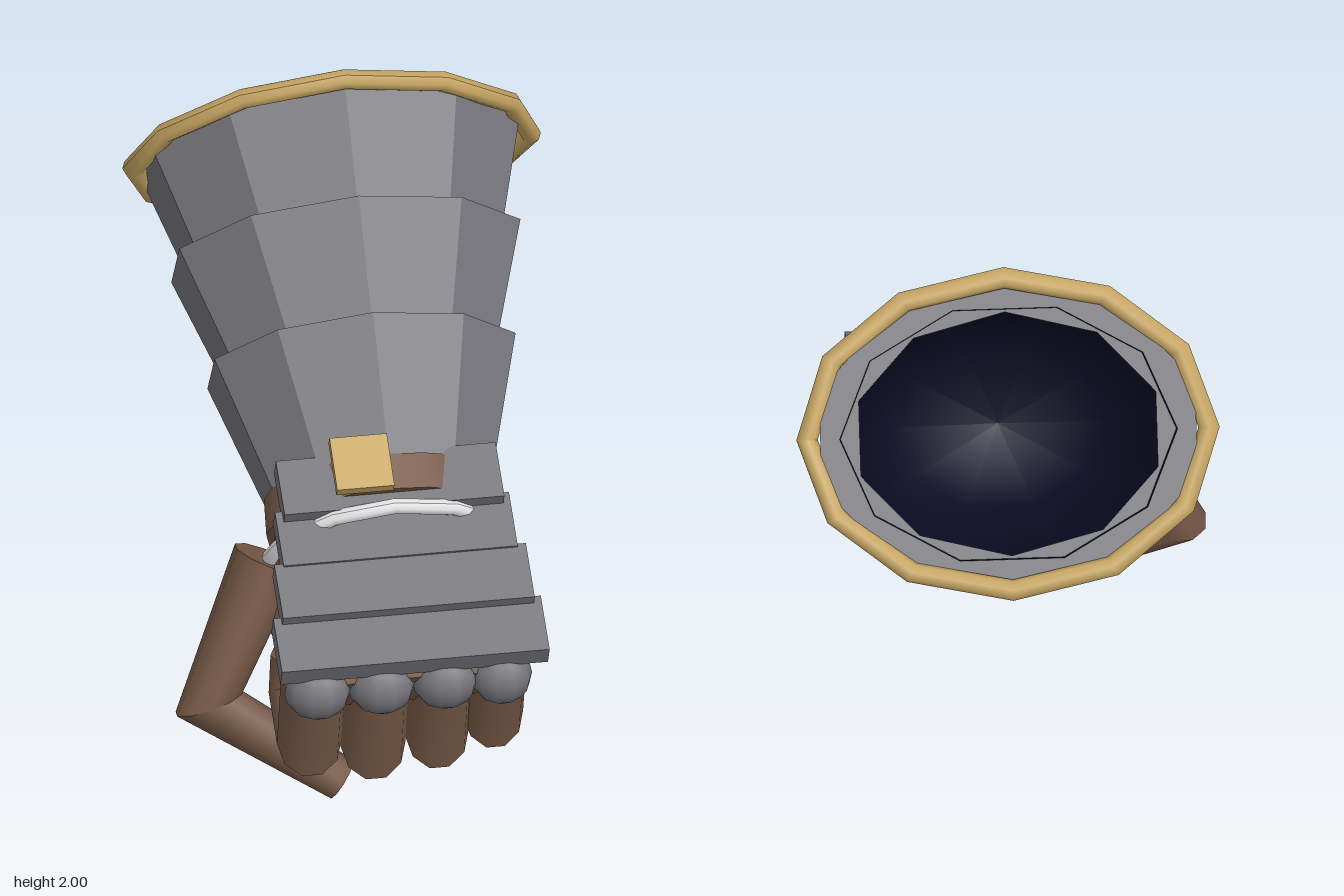
import * as THREE from 'three';

const mat = (name, color) => Object.assign(new THREE.MeshStandardMaterial({ color }), { name });
const V = (x, y, z) => new THREE.Vector3(x, y, z);

// Smooth closed skin over a list of rings, with flat caps
function loft(rings) {
  const n = rings[0].length, pos = [], idx = [];
  const add = (p) => pos.push(p.x, p.y, p.z) / 3 - 1;
  rings.forEach((ring) => ring.forEach(add));
  for (let i = 0; i < rings.length - 1; i++) {
    for (let j = 0; j < n; j++) {
      const k = (j + 1) % n, a = i * n + j, b = i * n + k;
      idx.push(a, b, b + n, a, b + n, a + n);
    }
  }
  [rings[0], rings[rings.length - 1]].forEach((ring, end) => {
    const mid = add(ring.reduce((s, p) => s.add(p), V(0, 0, 0)).divideScalar(n));
    const first = pos.length / 3;
    ring.forEach(add);
    for (let j = 0; j < n; j++) {
      const a = first + j, b = first + (j + 1) % n;
      idx.push(mid, ...(end ? [a, b] : [b, a]));
    }
  });
  const g = new THREE.BufferGeometry();
  g.setAttribute('position', new THREE.Float32BufferAttribute(pos, 3));
  g.setIndex(idx);
  g.computeVertexNormals();
  return g;
}

// Jointed limb with mitred, crisp bends about the axis n; widths lie along n, depths across it
function limb(points, widths, depths, n, sides = 10) {
  const dirs = points.slice(1).map((p, i) => p.clone().sub(points[i]).normalize());
  const rings = [];
  points.forEach((p, i) => {
    const d0 = dirs[Math.max(i - 1, 0)], d1 = dirs[Math.min(i, dirs.length - 1)];
    const t = d0.clone().add(d1).normalize();
    const m = t.clone().cross(n).divideScalar(t.dot(d1));
    const ring = [];
    for (let j = 0; j < sides; j++) {
      const a = (j / sides) * Math.PI * 2;
      ring.push(p.clone().addScaledVector(n, Math.cos(a) * widths[i]).addScaledVector(m, Math.sin(a) * depths[i]));
    }
    rings.push(ring);
    if (i > 0 && i < points.length - 1) rings.push(ring); // repeated ring keeps the bend sharp
  });
  return loft(rings);
}

function lathe(profile, sides, start = 0) {
  return new THREE.LatheGeometry(profile.map(([r, y]) => new THREE.Vector2(r, y)), sides, start);
}

function faceted(g) {
  const f = g.toNonIndexed();
  f.computeVertexNormals();
  return f;
}

// Oval hoop around the arm axis whose sides sag below its top and bottom
function hoop(rx, rz, tube, sag, sides) {
  const g = new THREE.TorusGeometry(1, tube, 8, sides);
  const p = g.attributes.position;
  for (let i = 0; i < p.count; i++) {
    const a = Math.atan2(p.getY(i), p.getX(i));
    const off = Math.hypot(p.getX(i), p.getY(i)) - 1;
    p.setXYZ(i, Math.cos(a) * (rx + off), -p.getZ(i) - sag * Math.cos(a) ** 2, Math.sin(a) * (rz + off));
  }
  g.computeVertexNormals();
  return g;
}

export function createModel() {
  const steel = mat('steel', 0x74747a), gold = mat('gold', 0xc6a562), leather = mat('leather', 0x755846);
  const white = mat('white', 0xe6e6e6), navy = mat('navy lining', 0x0b0b24);
  const model = new THREE.Group();
  model.name = 'gauntlet';
  const put = (parent, name, geometry, material, x = 0, y = 0, z = 0) => {
    const mesh = new THREE.Mesh(geometry, material);
    mesh.name = name;
    mesh.position.set(x, y, z);
    parent.add(mesh);
    return mesh;
  };

  // Forearm frame: +y runs up the arm from the wrist, +z is the back of the hand
  const arm = new THREE.Group();
  arm.name = 'arm';
  arm.position.set(0.014, 0.892, 0.28);
  arm.rotation.x = THREE.MathUtils.degToRad(-55);
  model.add(arm);

  // Three overlapping flared cuff plates
  put(arm, 'cuff', faceted(lathe([
    [0, 0], [0.365, 0], [0.497, 0.434], [0.44, 0.434], [0.563, 0.806], [0.507, 0.806],
    [0.614, 1.17], [0.485, 1.17],
  ], 10)), steel).scale.z = 0.78;

  // Dark cavity, facing inward
  const lining = lathe([[0.525, 1.19], [0.46, 0.85], [0.34, 0.5], [0, 0.42]], 10, Math.PI / 10);
  put(arm, 'cuffLining', lining, navy).scale.z = 0.78;
  put(arm, 'cuffRim', hoop(0.624, 0.485, 0.033, 0.035, 12), gold, 0, 1.18, 0);

  // Wrist, palm and the cord around it
  put(arm, 'wrist', lathe([[0, -0.12], [0.372, -0.12], [0.372, -0.12], [0.364, 0]], 20), leather).scale.z = 0.78;
  const palm = [ // y, half width, bottom z, top z
    [-0.7, 0.34, -0.03, 0.15], [-0.64, 0.375, -0.1, 0.19], [-0.5, 0.375, -0.19, 0.21],
    [-0.2, 0.355, -0.26, 0.22], [-0.05, 0.335, -0.26, 0.22],
  ].map(([y, w, lo, hi]) => {
    const ring = [];
    for (let j = 0; j < 20; j++) {
      const a = (-j / 20) * Math.PI * 2, c = Math.cos(a), s = Math.sin(a);
      const r = (v) => Math.sign(v) * Math.abs(v) ** 0.75;
      ring.push(V(w * r(c), y, (lo + hi) / 2 + ((hi - lo) / 2) * r(s)));
    }
    return ring;
  });
  put(arm, 'palm', loft(palm), leather);
  put(arm, 'wristCord', hoop(0.37, 0.28, 0.026, 0.02, 12), white, 0, -0.175, 0);

  // Stepped plates over the back of the hand: width, y, z
  [[0.84, 0.714, 0.88], [0.79, 0.825, 0.745], [0.735, 0.915, 0.585], [0.69, 1.025, 0.465]].forEach(([w, y, z], i) => {
    put(model, 'handPlate' + (i + 1), new THREE.BoxGeometry(w, 0.075, 0.195), steel, 0.014, y, z)
      .rotation.x = THREE.MathUtils.degToRad(27);
  });
  put(model, 'goldClasp', new THREE.BoxGeometry(0.18, 0.035, 0.18), gold, -0.077, 1.125, 0.49)
    .rotation.x = THREE.MathUtils.degToRad(32);

  // Knuckles and curled fingers: x, half width, rise of the curl, shortening of the curl
  const fingers = [[-0.282, 0.102, 0.03, 0], [-0.082, 0.102, 0, 0], [0.118, 0.1, 0.02, 0.01], [0.295, 0.094, 0.075, 0.02]];
  fingers.forEach(([x, r, up, back], i) => {
    put(model, 'knuckle' + (i + 1), new THREE.SphereGeometry(0.092, 10, 8), steel, x, 0.575, 0.905).scale.x = r / 0.09;
    const path = [
      V(x, 0.57, 0.82), V(x, 0.26 + up, 0.745), V(x, 0.315 + up, 0.535 + back), V(x, 0.46 + up * 0.5, 0.525 + back),
    ];
    const depths = [0.085, 0.08, 0.08, 0.075];
    put(model, 'finger' + (i + 1), limb(path, [r, r, r * 0.92, r * 0.85], depths, V(1, 0, 0)), leather);
  });

  // Thumb and the muscle at its base
  const thumb = [V(-0.355, 0.74, 0.38), V(-0.56, 0.31, 0.51), V(-0.16, 0.06, 0.62)];
  const bend = thumb[1].clone().sub(thumb[0]).cross(thumb[2].clone().sub(thumb[1])).normalize();
  put(model, 'thumb', limb(thumb, [0.125, 0.1, 0.07], [0.11, 0.085, 0.07], bend), leather);
  put(model, 'thumbBase', new THREE.SphereGeometry(0.12, 14, 10), leather, -0.28, 0.6, 0.4).scale.y = 1.2;

  return model;
}
